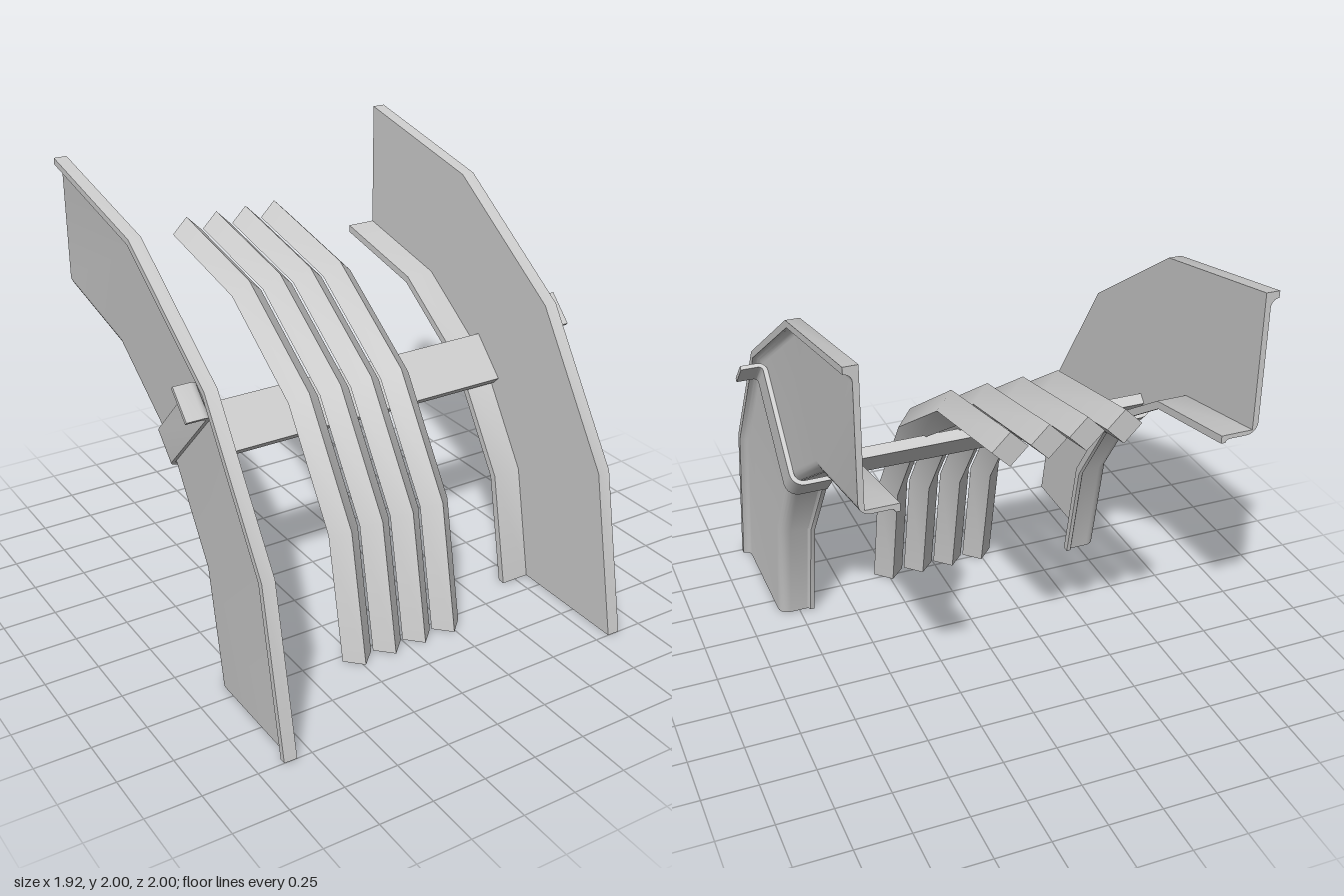
import * as THREE from 'three';
import { toCreasedNormals } from 'three/addons/utils/BufferGeometryUtils.js';

const material = new THREE.MeshStandardMaterial({ color: 0xcccccc });
const SEGMENTS = 4; // straight runs in the quarter turn
const PIVOT_Z = -1; // the turn is centred on the line y = 0, z = -1

const v = (x, r) => new THREE.Vector2(x, r);

// quarter round, from angle a to b in degrees
function arc(cx, cy, radius, a, b, steps = 5) {
  const pts = [];
  for (let i = 0; i <= steps; i++) {
    const t = THREE.MathUtils.degToRad(a + ((b - a) * i) / steps);
    pts.push(v(cx + radius * Math.cos(t), cy + radius * Math.sin(t)));
  }
  return pts;
}

// mirrors an anticlockwise section to the other side, keeping it anticlockwise
const mirror = (pts, side) => (side > 0 ? pts : pts.map(p => v(-p.x, p.y)).reverse());

// sweeps a closed (x, radius) section through the faceted quarter turn
function sweep(section) {
  const n = section.length, pos = [], index = [];
  for (let j = 0; j <= SEGMENTS; j++) {
    const a = (j / SEGMENTS) * Math.PI / 2;
    for (const p of section) pos.push(p.x, p.y * Math.sin(a), PIVOT_Z + p.y * Math.cos(a));
  }
  for (let j = 0; j < SEGMENTS; j++) {
    for (let i = 0; i < n; i++) {
      const a = j * n + i, b = j * n + (i + 1) % n;
      index.push(a, a + n, b + n, a, b + n, b);
    }
  }
  const end = SEGMENTS * n;
  for (const [a, b, c] of THREE.ShapeUtils.triangulateShape(section, [])) {
    index.push(a, b, c, end + a, end + c, end + b);
  }
  const g = new THREE.BufferGeometry();
  g.setAttribute('position', new THREE.Float32BufferAttribute(pos, 3));
  g.setIndex(index);
  return toCreasedNormals(g, Math.PI / 6);
}

function addMesh(parent, name, geometry) {
  const mesh = new THREE.Mesh(geometry, material);
  mesh.name = name;
  parent.add(mesh);
  return mesh;
}

export function createModel() {
  const model = new THREE.Group();
  model.name = 'curvedTrack';

  // L-shaped side rail with a lip on the wall rim and on the flange edge
  const railSection = [
    v(0.68, 1.365), v(0.70, 1.365),
    ...arc(0.715, 1.365, 0.015, 180, 90, 4),
    ...arc(0.795, 1.43, 0.05, -90, 0),
    ...arc(0.88, 1.935, 0.035, 180, 90),
    v(0.88, 2), v(0.82, 2), v(0.82, 1.4), v(0.68, 1.4),
  ];

  // bracket strap: under the flange, up the wall, then bent outward
  const strapSection = [
    v(0.68, 1.34),
    ...arc(0.805, 1.40, 0.06, -90, 0),
    ...arc(0.885, 1.877, 0.02, 180, 90),
    v(0.96, 1.897), v(0.96, 1.915),
    ...arc(0.885, 1.875, 0.04, 90, 180),
    ...arc(0.805, 1.40, 0.04, 0, -90),
    v(0.68, 1.36),
  ];

  // parts fixed at the middle of the turn, with local y pointing outward
  const middle = new THREE.Group();
  middle.name = 'middleSupport';
  middle.position.z = PIVOT_Z;
  middle.rotation.x = Math.PI / 4;
  model.add(middle);

  for (const side of [1, -1]) {
    const label = side > 0 ? 'left' : 'right';
    addMesh(model, label + 'Rail', sweep(mirror(railSection, side)));

    const strap = new THREE.ExtrudeGeometry(new THREE.Shape(mirror(strapSection, side)), {
      depth: 0.16, bevelEnabled: false,
    });
    strap.translate(0, 0, -0.08);
    addMesh(middle, label + 'Bracket', toCreasedNormals(strap, Math.PI / 6));
  }

  // flat crossbar resting on both flanges
  addMesh(middle, 'crossbar', new THREE.BoxGeometry(1.64, 0.05, 0.24)).position.y = 1.42;

  // four diamond-section bars following the turn
  for (let i = 0; i < 4; i++) {
    const x = (i - 1.5) * 0.16;
    const diamond = [v(x, 1.46), v(x + 0.075, 1.535), v(x, 1.61), v(x - 0.075, 1.535)];
    addMesh(model, 'bar' + (i + 1), sweep(diamond));
  }
  return model;
}
